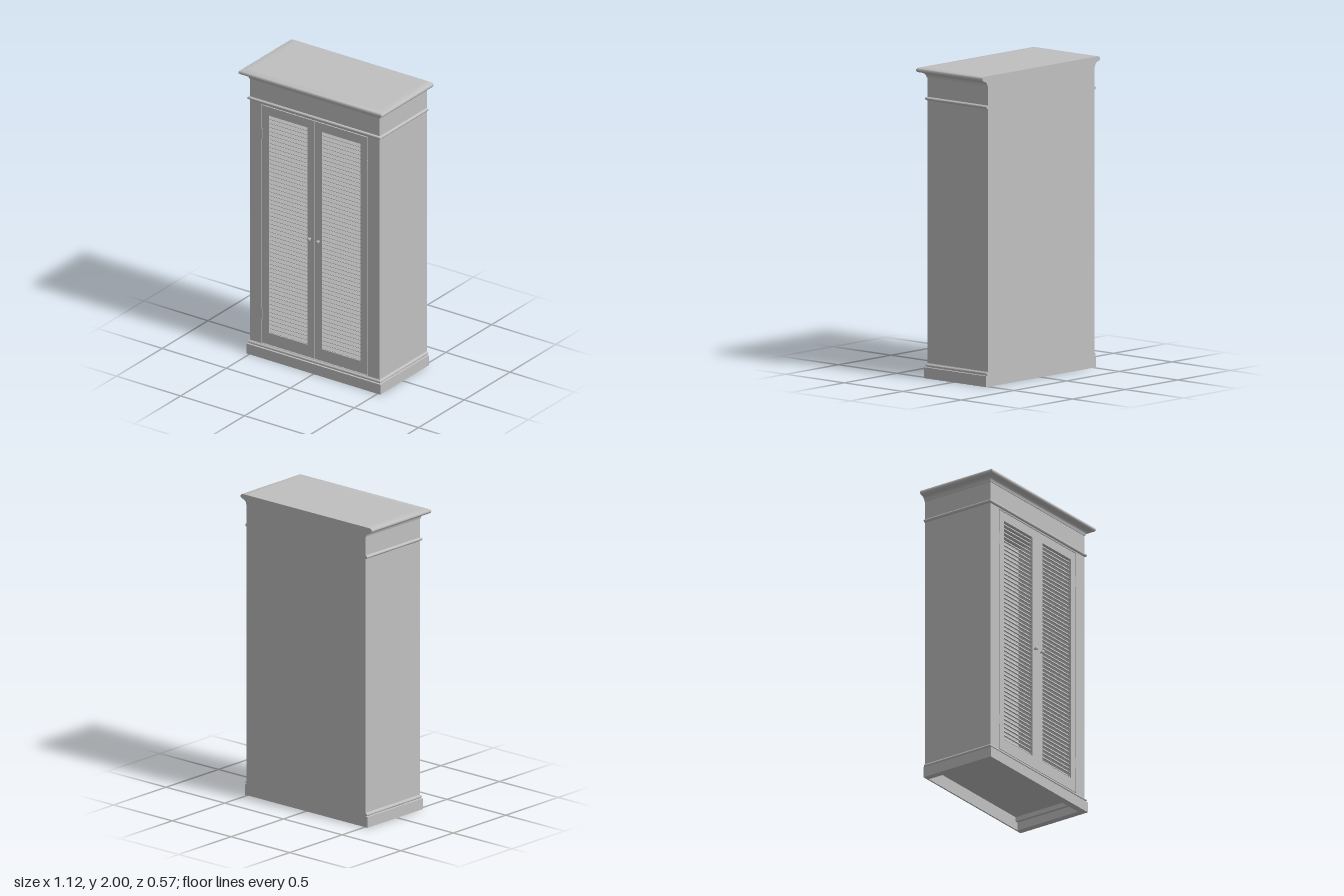
import * as THREE from 'three';
import { toCreasedNormals } from 'three/addons/utils/BufferGeometryUtils.js';

const W = 0.507, FRONT = 0.233, BACK = -0.283;

export function createModel() {
  const group = new THREE.Group();
  const paint = new THREE.MeshStandardMaterial({ color: 0xc0c0c0 });
  paint.name = 'grey paint';

  function add(name, geo, x = 0, y = 0, z = 0) {
    const mesh = new THREE.Mesh(geo, paint);
    mesh.name = name;
    mesh.position.set(x, y, z);
    group.add(mesh);
    return mesh;
  }
  function box(name, x0, x1, y0, y1, z0, z1) {
    return add(name, new THREE.BoxGeometry(x1 - x0, y1 - y0, z1 - z0),
      (x0 + x1) / 2, (y0 + y1) / 2, (z0 + z1) / 2);
  }
  // rectangular panel with a rectangular opening
  function rect(Type, x0, x1, y0, y1) {
    return new Type([[x0, y0], [x1, y0], [x1, y1], [x0, y1]].map(p => new THREE.Vector2(...p)));
  }
  function frame(name, outer, hole, z0, z1) {
    const shape = rect(THREE.Shape, ...outer);
    shape.holes.push(rect(THREE.Path, ...hole));
    return add(name, new THREE.ExtrudeGeometry(shape, { depth: z1 - z0, bevelEnabled: false }), 0, 0, z0);
  }
  // profile of [outset, height] mitred round the left, front and right
  function moulding(name, profile) {
    const ring = ([o, y]) => [[-W - o, y, BACK], [-W - o, y, FRONT + o], [W + o, y, FRONT + o], [W + o, y, BACK]];
    const pos = [];
    for (let j = 0; j < profile.length - 1; j++) {
      const lo = ring(profile[j]), hi = ring(profile[j + 1]);
      for (let i = 0; i < 3; i++) {
        pos.push(...lo[i], ...lo[i + 1], ...hi[i + 1], ...lo[i], ...hi[i + 1], ...hi[i]);
      }
    }
    const geo = new THREE.BufferGeometry();
    geo.setAttribute('position', new THREE.Float32BufferAttribute(pos, 3));
    add(name, toCreasedNormals(geo, 0.7));
  }
  // points on an arc, as [outset, height]
  function arc(cx, cy, r, a0, a1, n) {
    return Array.from({ length: n + 1 }, (_, i) => {
      const a = a0 + (a1 - a0) * i / n;
      return [cx + r * Math.cos(a), cy + r * Math.sin(a)];
    });
  }

  // plinth with a stepped hollow underside
  const h = Math.PI / 2;
  const plinthOuter = [[0.015, 0], [0.015, 0.07], [0.004, 0.071], ...arc(0.003, 0.084, 0.008, -h, h, 6), [0, 0.097]];
  moulding('plinth', [[-0.05, 0.086], [-0.05, 0.055], [-0.03, 0.055], [-0.03, 0], ...plinthOuter]);

  // bead below the frieze
  const bead = [[0, 1.787], ...arc(0.002, 1.8, 0.01, -h, h, 8), [0, 1.811]];
  moulding('friezeBead', bead);

  // crown: cove, then a rounded slab
  const crown = [[0, 1.935], ...arc(0.036, 1.936, 0.032, Math.PI, h, 8),
    ...arc(0.037, 1.984, 0.015, -h, h, 8), [0, 2]];
  moulding('crown', crown);

  // flat back following the side silhouette
  const edge = [...plinthOuter, ...bead, ...crown];
  const outline = [...edge.map(([o, y]) => new THREE.Vector2(W + o, y)),
    ...edge.slice().reverse().map(([o, y]) => new THREE.Vector2(-W - o, y))];
  add('backPanel', new THREE.ExtrudeGeometry(new THREE.Shape(outline),
    { depth: 0.01, bevelEnabled: false }), 0, 0, BACK);

  // carcass
  for (const s of [-1, 1]) {
    const xs = [s * W, s * (W - 0.02)].sort((a, b) => a - b);
    box('sidePanel', xs[0], xs[1], 0.08, 1.99, BACK + 0.01, 0.205);
  }
  box('floor', -W + 0.01, W - 0.01, 0.085, 0.1, BACK + 0.01, 0.21);
  box('topPanel', -W, W, 1.975, 2, BACK, FRONT);
  frame('faceFrame', [-W, W, 0.08, 1.99], [-0.415, 0.415, 0.098, 1.78], 0.205, FRONT);

  // louvred doors
  const y0 = 0.185, y1 = 1.715, count = 54, pitch = (y1 - y0) / count;
  const slat = new THREE.BoxGeometry(0.31, 0.008, 0.036);
  slat.rotateX(Math.PI / 4);
  const knob = new THREE.LatheGeometry([[0.006, 0], [0.005, 0.01], [0.011, 0.014], [0.013, 0.019],
    [0.01, 0.025], [0, 0.027]].map(p => new THREE.Vector2(...p)), 20);
  knob.rotateX(Math.PI / 2);
  const barrel = new THREE.CylinderGeometry(0.005, 0.005, 0.075, 12);

  for (const s of [-1, 1]) {
    const span = (a, b) => s > 0 ? [a, b] : [-b, -a];
    frame('door', [...span(0.002, 0.41), 0.102, 1.775], [...span(0.055, 0.358), y0, y1], 0.205, FRONT);
    for (let i = 0; i < count; i++) {
      add('louvreSlat', slat, s * 0.2065, y0 + (i + 0.5) * pitch, 0.2155);
    }
    add('knob', knob, s * 0.034, 0.94, FRONT);
    for (const y of [0.305, 1.575]) add('hinge', barrel, s * 0.411, y, FRONT - 0.001);
  }
  return group;
}
